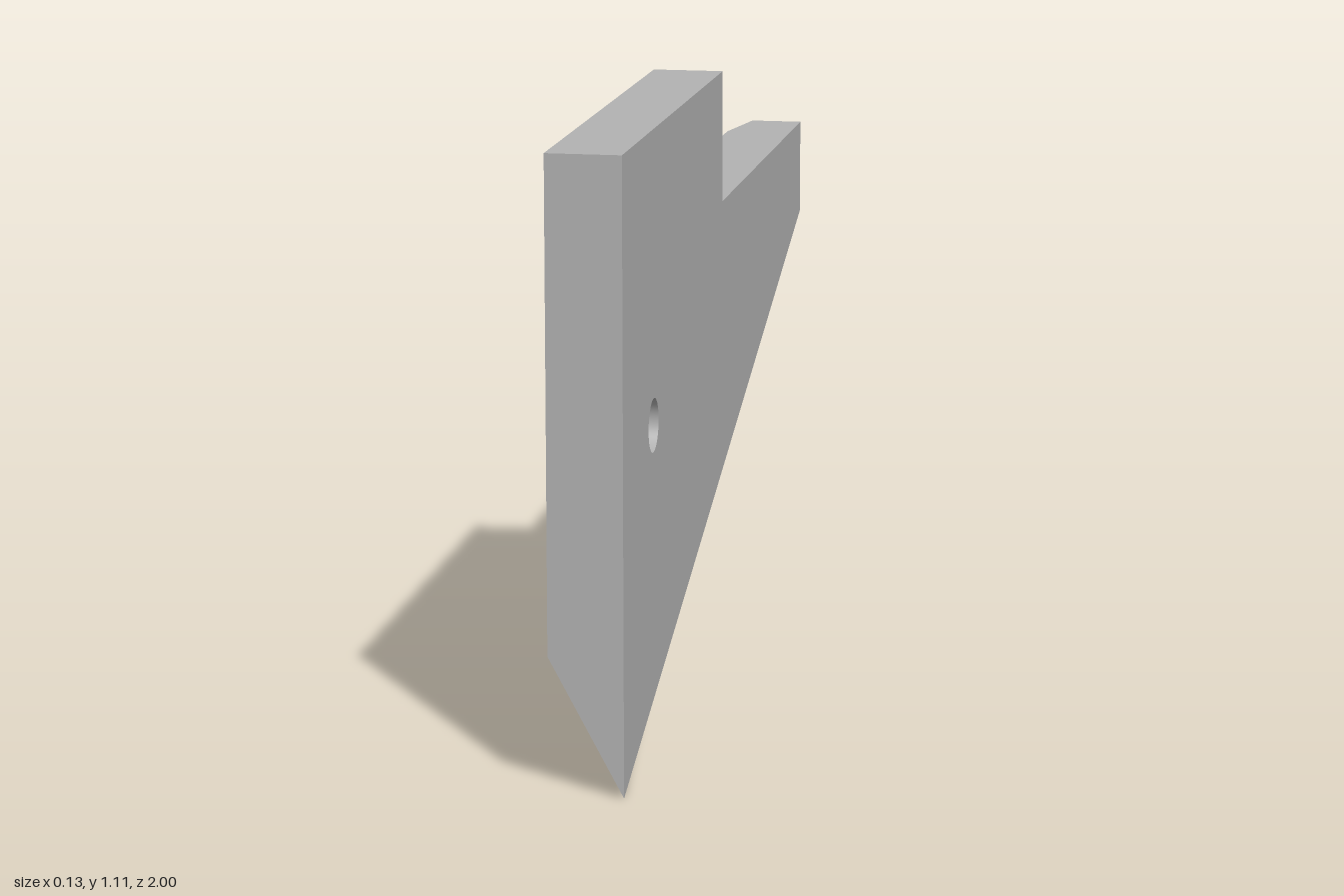
import * as THREE from 'three';
import { mergeGeometries } from 'three/addons/utils/BufferGeometryUtils.js';

const W = 0.066;       // half thickness
const TOP = 1.112;     // top of the tall half
const LEDGE = 0.863;   // top of the low half
const TAIL = 0.671;    // cutting edge height at the back
const BEVEL = 0.245;   // rise of the bevel across the thickness
const HOLE = { z: 0.718, y: 0.59, r: 0.048 };

// where the bevel plane meets the ledge
const ledgeZ = 1 - 2 * (LEDGE - BEVEL) / TAIL;
const tailX = W - 2 * W * (LEDGE - TAIL) / BEVEL;

// flat side face with the round hole; outline is [z, y] pairs
function sideFace(outline, sign) {
  const shape = new THREE.Shape(outline.map(([z, y]) => new THREE.Vector2(-sign * z, y)));
  const hole = new THREE.Path();
  hole.absarc(-sign * HOLE.z, HOLE.y, HOLE.r, 0, Math.PI * 2, true);
  shape.holes.push(hole);
  return new THREE.ShapeGeometry(shape, 24).rotateY(sign * Math.PI / 2).translate(sign * W, 0, 0);
}

// convex flat polygon as a triangle fan
function polygon(points) {
  const pos = [];
  for (let i = 1; i < points.length - 1; i++) pos.push(...points[0], ...points[i], ...points[i + 1]);
  const g = new THREE.BufferGeometry();
  g.setAttribute('position', new THREE.Float32BufferAttribute(pos, 3));
  g.computeVertexNormals();
  return g;
}

export function createModel() {
  const group = new THREE.Group();
  group.name = 'bladePlate';
  const grey = new THREE.MeshStandardMaterial({ color: 0xb2b2b2 });
  grey.name = 'grey';
  const add = (name, geometry) => {
    const mesh = new THREE.Mesh(geometry, grey);
    mesh.name = name;
    group.add(mesh);
  };

  // full side and the shorter side above the bevel
  const upper = [[1, TOP], [0, TOP], [0, LEDGE]];
  add('leftSide', sideFace([[1, 0], ...upper, [-1, LEDGE], [-1, TAIL]], 1));
  add('rightSide', sideFace([[1, BEVEL], ...upper, [ledgeZ, LEDGE]], -1));

  // front, top, step, ledge and tail faces
  add('rim', mergeGeometries([
    polygon([[-W, BEVEL, 1], [W, 0, 1], [W, TOP, 1], [-W, TOP, 1]]),
    polygon([[-W, TOP, 1], [W, TOP, 1], [W, TOP, 0], [-W, TOP, 0]]),
    polygon([[W, LEDGE, 0], [-W, LEDGE, 0], [-W, TOP, 0], [W, TOP, 0]]),
    polygon([[-W, LEDGE, 0], [W, LEDGE, 0], [W, LEDGE, -1], [tailX, LEDGE, -1], [-W, LEDGE, ledgeZ]]),
    polygon([[W, TAIL, -1], [tailX, LEDGE, -1], [W, LEDGE, -1]]),
  ]));

  // slanted cutting bevel
  add('cuttingBevel', polygon([
    [-W, BEVEL, 1], [-W, LEDGE, ledgeZ], [tailX, LEDGE, -1], [W, TAIL, -1], [W, 0, 1],
  ]));

  // inside wall of the hole: a lathe profile run so that it faces the axis
  const wall = [new THREE.Vector2(HOLE.r, W), new THREE.Vector2(HOLE.r, -W)];
  add('holeWall', new THREE.LatheGeometry(wall, 48).rotateZ(Math.PI / 2).translate(0, HOLE.y, HOLE.z));
  return group;
}
